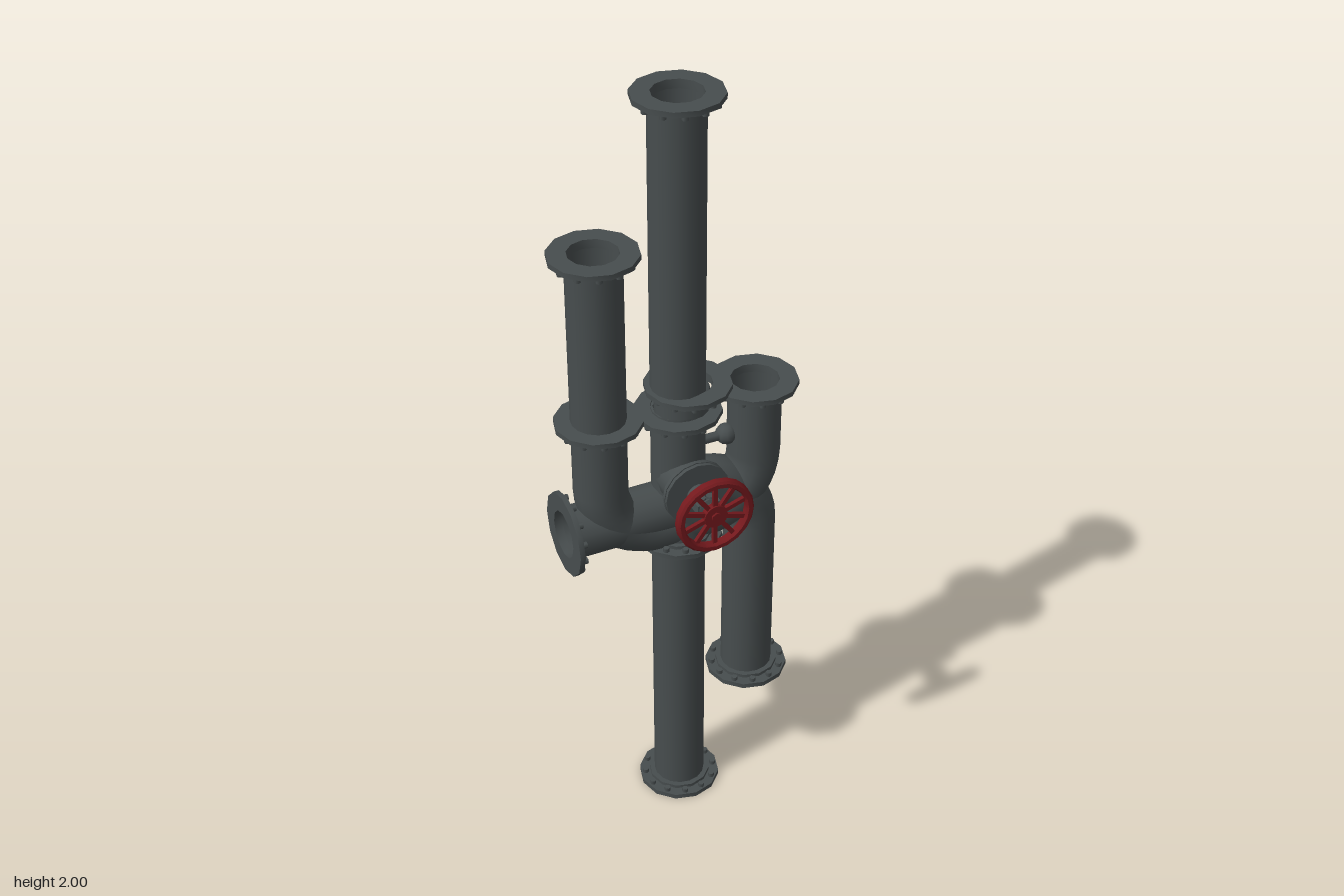
import * as THREE from 'three';
import { toCreasedNormals } from 'three/addons/utils/BufferGeometryUtils.js';

const Z = -0.053;      // plane shared by all pipes
const R = 0.066;       // pipe radius
const BORE = 0.06;
const BEND = 0.15;     // elbow radius

export function createModel() {
  const model = new THREE.Group();
  model.name = 'pipeManifold';

  const iron = new THREE.MeshStandardMaterial({ color: 0x474d4e, side: THREE.DoubleSide });
  iron.name = 'darkIron';
  const red = new THREE.MeshStandardMaterial({ color: 0x74191d });
  red.name = 'wheelRed';

  function add(geo, name, x, y, z, mat = iron, parent = model) {
    const mesh = new THREE.Mesh(geo, mat);
    mesh.name = name;
    mesh.position.set(x, y, z);
    parent.add(mesh);
    return mesh;
  }
  const lathe = (pts, n) => toCreasedNormals(
    new THREE.LatheGeometry(pts.map(p => new THREE.Vector2(p[0], p[1])), n), 0.6);

  // Shared flange: outer face at y = 0, raised lip and bolts on the pipe side
  const flangeGeo = lathe([[BORE, -0.022], [R, -0.022], [0.08, -0.022], [0.08, -0.013],
    [0.106, -0.013], [0.106, 0], [BORE, 0], [BORE, -0.022]], 12);
  const boltGeo = new THREE.CylinderGeometry(0.008, 0.008, 0.012, 6);
  const plugGeo = new THREE.CircleGeometry(BORE + 0.003, 12).rotateX(-Math.PI / 2);

  function flange(name, x, y, dir = 'up', open = true) {
    const g = new THREE.Group();
    g.name = name;
    add(flangeGeo, 'flangePlate', 0, 0, 0, iron, g);
    for (let i = 0; i < 12; i++) {
      const a = (i + 0.5) * Math.PI / 6;
      add(boltGeo, 'flangeBolt', 0.091 * Math.cos(a), -0.018, 0.091 * Math.sin(a), iron, g);
    }
    if (open) add(plugGeo, 'boreEnd', 0, -0.1, 0, iron, g);
    if (dir === 'down') g.rotation.x = Math.PI;
    if (dir === 'side') g.rotation.z = Math.PI / 2;
    g.position.set(x, y, Z);
    model.add(g);
  }

  function pipe(name, x, y0, y1) {
    add(new THREE.CylinderGeometry(R, R, y1 - y0, 16, 1, true), name, x, (y0 + y1) / 2, Z);
  }
  function crossPipe(name, x0, x1, y) {
    add(new THREE.CylinderGeometry(R, R, x1 - x0, 16, 1, true).rotateZ(Math.PI / 2),
      name, (x0 + x1) / 2, y, Z);
  }
  function elbow(name, x, y, startAngle) {
    add(new THREE.TorusGeometry(BEND, R, 16, 10, Math.PI / 2), name, x, y, Z)
      .rotation.z = startAngle;
  }

  // Main riser through the middle
  pipe('lowerRiser', 0, 0.005, 0.84);
  pipe('bodyRiser', 0, 0.82, 1.2);
  pipe('riserNeck', 0.01, 1.18, 1.25);
  pipe('upperRiser', 0, 1.24, 1.995);
  flange('riserBottomFlange', 0, 0, 'down');
  flange('riserTopFlange', 0.002, 2);
  flange('bodyBottomFlange', 0.002, 0.815, 'down', false);
  flange('bodyTopFlange', 0, 1.195, 'up', false);
  flange('neckFlange', 0.026, 1.258, 'up', false);

  // U-shaped branch joining the left and right upright pipes
  const sideX = 0.203, bendX = sideX - BEND, bendY = 1.02;
  elbow('rightBranchElbow', -bendX, bendY, Math.PI);
  elbow('leftBranchElbow', bendX, bendY, -Math.PI / 2);
  crossPipe('branchBase', -bendX, bendX, bendY - BEND);
  pipe('rightUpperPipe', -sideX, bendY, 1.655);
  pipe('leftUpperPipe', sideX, bendY, 1.215);
  flange('rightTopFlange', -sideX, 1.66);
  flange('rightMiddleFlange', -sideX, 1.22, 'up', false);
  flange('leftTopFlange', sideX, 1.22);

  // Downward branch on the left
  elbow('lowerElbow', 0.045, 0.81, 0);
  crossPipe('lowerElbowBase', -0.03, 0.045, 0.96);
  pipe('leftLowerPipe', 0.195, 0.33, 0.81);
  flange('leftBottomFlange', 0.195, 0.322, 'down');

  // Horizontal outlet
  crossPipe('sideOutlet', -0.295, 0.02, 0.915);
  flange('sideFlange', -0.302, 0.915, 'side');

  // Small drain plug
  add(new THREE.SphereGeometry(0.027, 10, 8), 'drainPlug', 0.128, 1.08, Z);
  add(new THREE.CylinderGeometry(0.012, 0.012, 0.07, 8).rotateZ(Math.PI / 2),
    'drainStem', 0.09, 1.08, Z);

  // Valve, turned so its axis points forward
  const valve = new THREE.Group();
  valve.name = 'valve';
  valve.position.set(0.002, 1.01, 0);
  valve.rotation.x = Math.PI / 2;
  model.add(valve);
  add(lathe([[0, Z], [R, Z], [R, 0.033], [0.083, 0.033], [0.083, 0.043], [0.075, 0.043],
    [0.075, 0.046], [0.083, 0.046], [0.083, 0.055], [0.03, 0.055], [0.028, 0.064],
    [0.018, 0.066], [0.018, 0.074], [0.026, 0.078], [0.026, 0.082], [0, 0.082]], 16),
    'bonnet', 0, 0, 0, iron, valve);
  add(lathe([[0, 0.112], [0.026, 0.112], [0.026, 0.116], [0.017, 0.12], [0.017, 0.126],
    [0.026, 0.13], [0.026, 0.138], [0, 0.138]], 12), 'stemCollar', 0, 0, 0, iron, valve);
  for (const s of [-1, 1]) {
    add(new THREE.BoxGeometry(0.007, 0.036, 0.026), 'yokeArm', s * 0.026, 0.097, 0, iron, valve);
    add(new THREE.CylinderGeometry(0.01, 0.01, 0.044, 10).rotateX(Math.PI / 2),
      'glandBolt', s * 0.011, 0.097, 0, iron, valve);
  }

  // Hand wheel with rim, spokes and hub
  const wheel = new THREE.Group();
  wheel.name = 'handWheel';
  wheel.position.y = 0.144;
  valve.add(wheel);
  add(lathe([[0.081, -0.008], [0.09, -0.013], [0.099, -0.008], [0.099, 0.008], [0.094, 0.013],
    [0.084, 0.013], [0.08, 0.006], [0.081, -0.008]], 20), 'rim', 0, 0, 0, red, wheel);
  add(new THREE.CylinderGeometry(0.03, 0.03, 0.018, 12), 'hub', 0, 0, 0, red, wheel);
  add(new THREE.CylinderGeometry(0.013, 0.013, 0.012, 6), 'hubNut', 0, 0.008, 0, red, wheel);
  const spokeGeo = new THREE.BoxGeometry(0.065, 0.01, 0.011).translate(0.053, 0, 0);
  for (let i = 0; i < 10; i++) {
    add(spokeGeo, 'spoke', 0, 0, 0, red, wheel).rotation.y = (i + 0.5) * Math.PI / 5;
  }

  return model;
}
